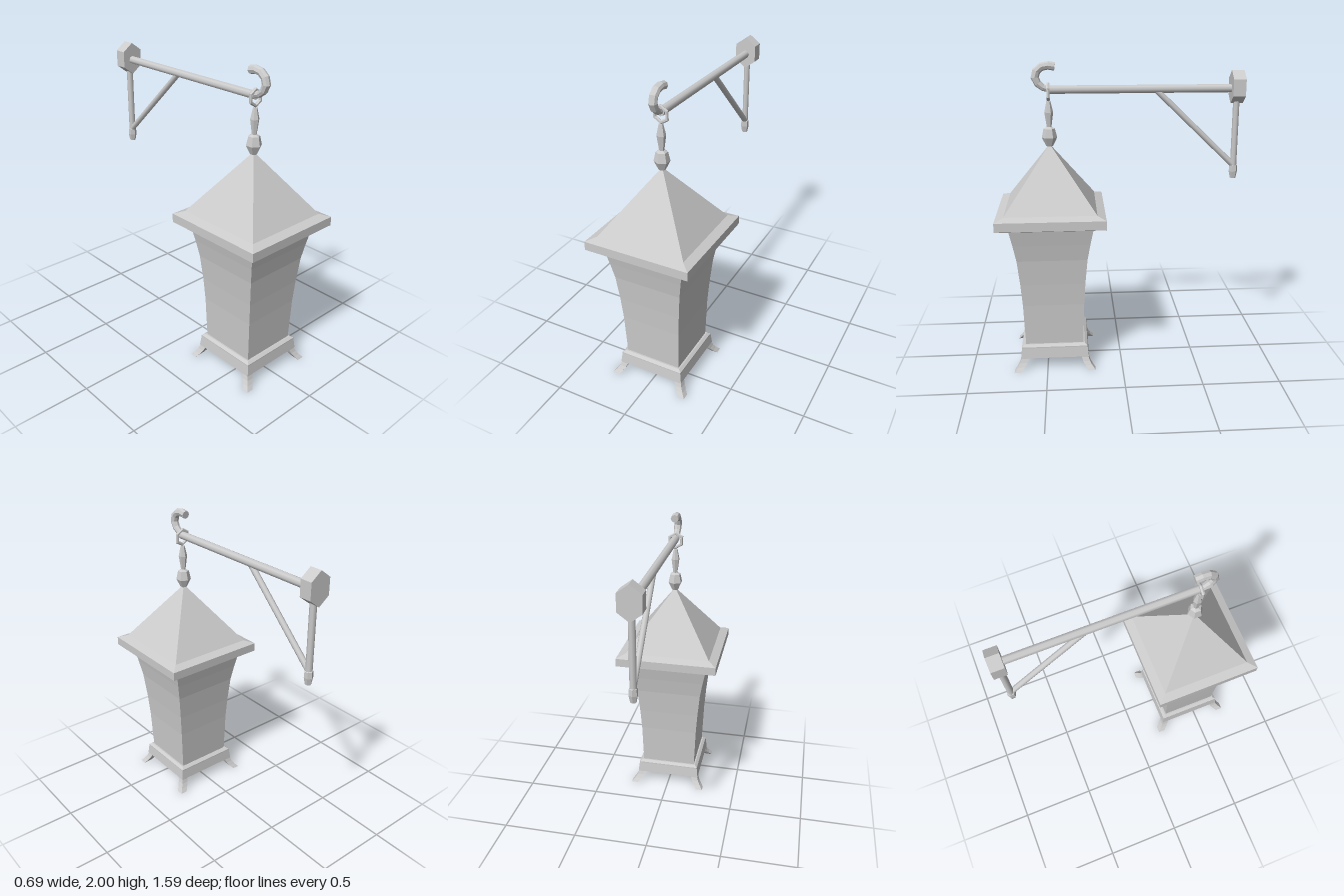
import * as THREE from 'three';

const flat = new THREE.MeshStandardMaterial({ color: 0xcccccc, flatShading: true });
const smooth = new THREE.MeshStandardMaterial({ color: 0xcccccc });
const LANTERN_Z = 0.45;

export function createModel() {
  const model = new THREE.Group();
  const lantern = new THREE.Group();
  lantern.name = 'lantern';
  lantern.position.z = LANTERN_Z;
  const bracket = new THREE.Group();
  bracket.name = 'wallBracket';
  model.add(lantern, bracket);

  const add = (parent, name, geometry, material = flat) => {
    const mesh = new THREE.Mesh(geometry, material);
    mesh.name = name;
    parent.add(mesh);
    return mesh;
  };
  // Profile of [half width, height], bottom to top; four sides give a square section
  const turned = (profile, sides) => {
    const k = 1 / Math.cos(Math.PI / sides);
    const points = profile.map(([r, y]) => new THREE.Vector2(sides === 4 ? r * k : r, y));
    const g = new THREE.LatheGeometry(points, sides);
    return sides === 4 ? g.rotateY(Math.PI / 4) : g;
  };
  // Round bar between two points
  const bar = (name, from, to, radius) => {
    const a = new THREE.Vector3(...from), b = new THREE.Vector3(...to);
    const dir = b.clone().sub(a);
    const mesh = add(bracket, name, new THREE.CylinderGeometry(radius, radius, dir.length(), 8), smooth);
    mesh.position.copy(a).add(b).multiplyScalar(0.5);
    mesh.quaternion.setFromUnitVectors(new THREE.Vector3(0, 1, 0), dir.normalize());
  };

  // Square lantern: plinth, flared body, eaves and pyramid roof
  add(lantern, 'base', turned([[0, 0.08], [0.226, 0.08], [0.218, 0.15], [0.218, 0.157], [0.2, 0.17], [0, 0.17]], 4));
  add(lantern, 'body', turned([[0.19, 0.16], [0.195, 0.3], [0.2, 0.45], [0.21, 0.6],
    [0.226, 0.77], [0.245, 0.88], [0.267, 0.99]], 4));
  add(lantern, 'eaves', turned([[0, 0.98], [0.267, 0.98], [0.345, 1.008], [0.345, 1.065], [0.29, 1.085], [0, 1.085]], 4));
  add(lantern, 'roof', turned([[0.29, 1.085], [0.006, 1.475], [0, 1.475]], 4));

  // Corner feet curving outwards along the diagonals
  for (const sx of [-1, 1]) for (const sz of [-1, 1]) {
    const g = new THREE.BoxGeometry(0.046, 0.1, 0.046, 1, 4, 1);
    const p = g.attributes.position;
    for (let i = 0; i < p.count; i++) {
      const t = (0.05 - p.getY(i)) / 0.1;
      const shift = 0.198 + 0.048 * t * t;
      p.setXYZ(i, p.getX(i) + sx * shift, p.getY(i) + 0.05, p.getZ(i) + sz * shift);
    }
    add(lantern, 'foot', g);
  }

  // Finial bead, spindle and the link looped over the arm
  add(lantern, 'finialBead', turned([[0, 1.468], [0.022, 1.47], [0.049, 1.525], [0.036, 1.582], [0.014, 1.593], [0, 1.593]], 6));
  add(lantern, 'spindle', turned([[0.014, 1.585], [0.028, 1.685], [0.013, 1.755], [0, 1.755]], 6));
  const link = add(lantern, 'hangingLink', new THREE.TorusGeometry(0.045, 0.011, 6, 6));
  link.position.y = 1.813;
  link.rotation.z = Math.PI / 6;
  link.scale.y = 1.1;

  // Wall plate, an upright six-sided block
  const plate = new THREE.CylinderGeometry(0.105, 0.105, 0.08, 6).rotateX(Math.PI / 2).scale(0.77, 1, 1);
  add(bracket, 'wallPlate', plate).position.set(0, 1.835, -0.75);

  // Arm, upright and diagonal brace
  bar('arm', [0, 1.826, -0.72], [0, 1.826, 0.455], 0.026);
  bar('upright', [0, 1.29, -0.747], [0, 1.77, -0.747], 0.021);
  bar('brace', [0, 1.815, -0.235], [0, 1.315, -0.757], 0.019);
  const drop = add(bracket, 'uprightDrop', turned([[0, 1.24], [0.019, 1.24], [0.028, 1.285], [0.026, 1.325], [0, 1.335]], 6));
  drop.position.z = -0.747;

  // Curled hook at the arm tip, slimmer where it leaves the arm
  const path = new THREE.CatmullRomCurve3([[0.44, 1.828], [0.495, 1.847], [0.53, 1.9], [0.51, 1.953], [0.46, 1.975], [0.405, 1.968]]
    .map(([z, y]) => new THREE.Vector3(0, y, z)));
  const steps = 7, sides = 8;
  const hook = new THREE.TubeGeometry(path, steps, 0.026, sides);
  const pos = hook.attributes.position, v = new THREE.Vector3();
  for (let i = 0; i < pos.count; i++) {
    const t = Math.floor(i / (sides + 1)) / steps;
    const c = path.getPointAt(t);
    v.fromBufferAttribute(pos, i).sub(c).multiplyScalar(0.7 + 0.3 * Math.min(1, t * 2.5)).add(c);
    pos.setXYZ(i, v.x, v.y, v.z);
  }
  add(bracket, 'hook', hook);
  const tip = add(bracket, 'hookTip', new THREE.CircleGeometry(0.026, sides).rotateY(Math.PI));
  tip.position.set(0, 1.968, 0.405);
  tip.rotation.x = -0.1;

  return model;
}
